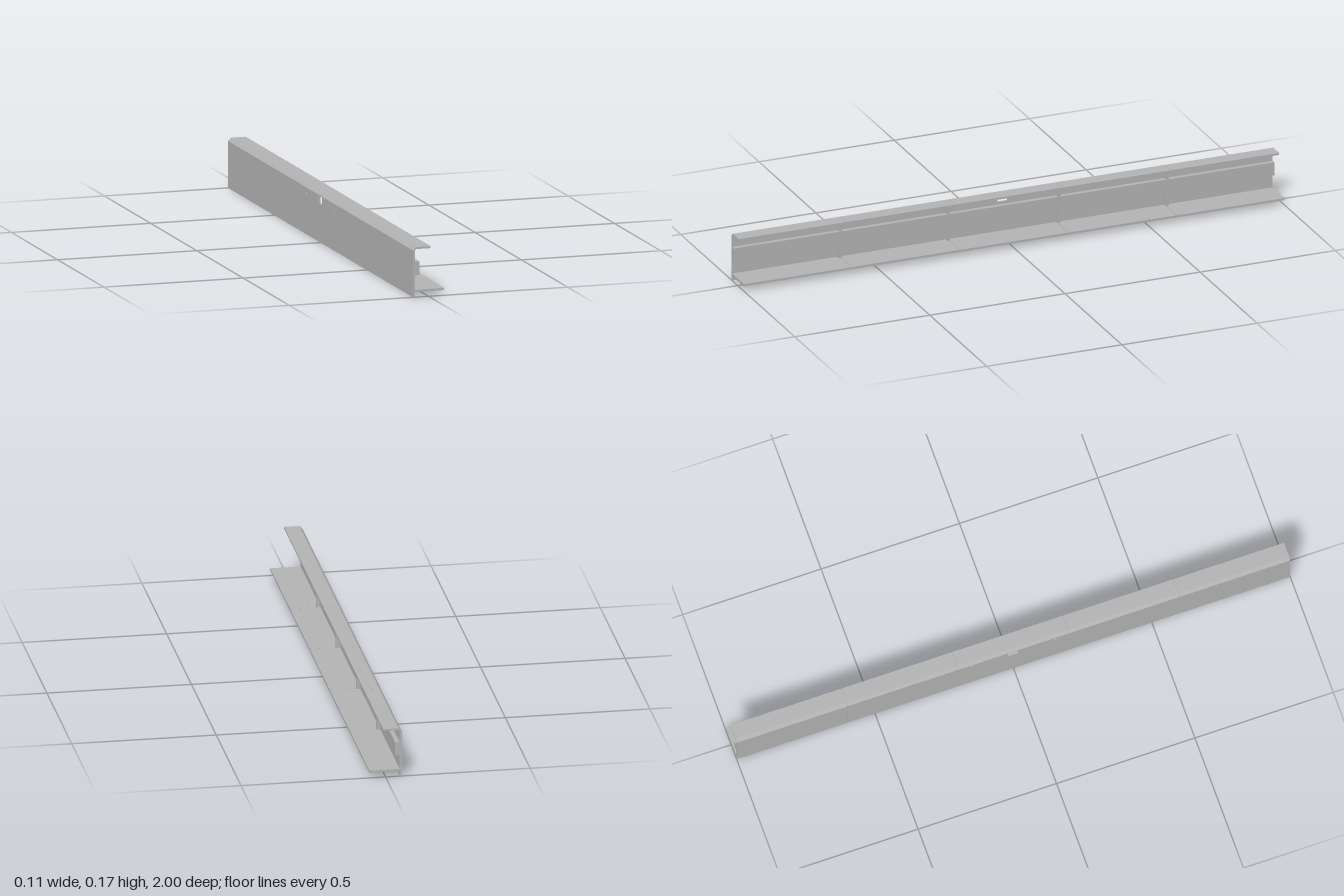
import * as THREE from 'three';

export function createModel() {
  const model = new THREE.Group();
  const steel = new THREE.MeshStandardMaterial({ color: 0xb2b2b2 });
  const SEAM = 0.0016; // hairline gap between neighbouring panels

  const add = (name, geometry) => {
    const mesh = new THREE.Mesh(geometry, steel);
    mesh.name = name;
    model.add(mesh);
    return mesh;
  };

  const box = (name, x0, x1, y0, y1, z0, z1) =>
    add(name, new THREE.BoxGeometry(x1 - x0, y1 - y0, z1 - z0))
      .position.set((x0 + x1) / 2, (y0 + y1) / 2, (z0 + z1) / 2);

  // Splits the full length at the given joints
  const spans = (joints) => {
    const ends = [-1, ...joints, 1];
    return ends.slice(1).map((end, i) => [
      ends[i] + (i > 0 ? SEAM / 2 : 0),
      end - (i < ends.length - 2 ? SEAM / 2 : 0),
    ]);
  };

  const rectangle = (path, u0, u1, v0, v1) =>
    path.moveTo(u0, v0).lineTo(u1, v0).lineTo(u1, v1).lineTo(u0, v1).closePath();

  // Back wall in three panels; the middle one has a window and two screw holes
  for (const [z0, z1] of spans([-0.6, 0.6])) {
    const panel = rectangle(new THREE.Shape(), -z1, -z0, 0, 0.163);
    if (z0 < 0 && z1 > 0) {
      panel.holes.push(rectangle(new THREE.Path(), -0.019, 0.019, 0.133, 0.16));
      for (const side of [-1, 1]) {
        panel.holes.push(new THREE.Path().absarc(side * 0.15, 0.147, 0.005, 0, Math.PI * 2, true));
      }
    }
    const geometry = new THREE.ExtrudeGeometry(panel, { depth: 0.007, bevelEnabled: false, curveSegments: 12 });
    geometry.rotateY(Math.PI / 2).translate(-0.056, 0, 0);
    add('backWall', geometry);
  }

  // Top flange with its chamfered outer corner, and the bottom flange
  const capProfile = new THREE.Shape([
    [-0.056, 0.163], [-0.049, 0.163], [-0.045, 0.167], [0.008, 0.167], [0.008, 0.174], [-0.045, 0.174],
  ].map(([x, y]) => new THREE.Vector2(x, y)));
  for (const [z0, z1] of spans([-0.6, -0.2, 0.2, 0.6])) {
    const cap = new THREE.ExtrudeGeometry(capProfile, { depth: z1 - z0, bevelEnabled: false });
    add('topFlange', cap.translate(0, 0, z0));
    box('bottomFlange', -0.049, 0.056, 0.018, 0.026, z0, z1);
  }

  // Raised rail along the inside of the wall
  for (const [z0, z1] of spans([-0.2, 0.2])) {
    box('innerRail', -0.049, -0.033, 0.076, 0.124, z0, z1);
  }

  // Upright ribs beside each joint, above and below the rail
  for (const z of [0.2, 0.6]) {
    for (const side of [-1, 1]) {
      const z0 = Math.min(side * z, side * (z + 0.01));
      box('lowerRib', -0.049, -0.035, 0.026, 0.076, z0, z0 + 0.01);
      box('upperRib', -0.049, -0.035, 0.124, 0.167, z0, z0 + 0.01);
    }
  }

  return model;
}
